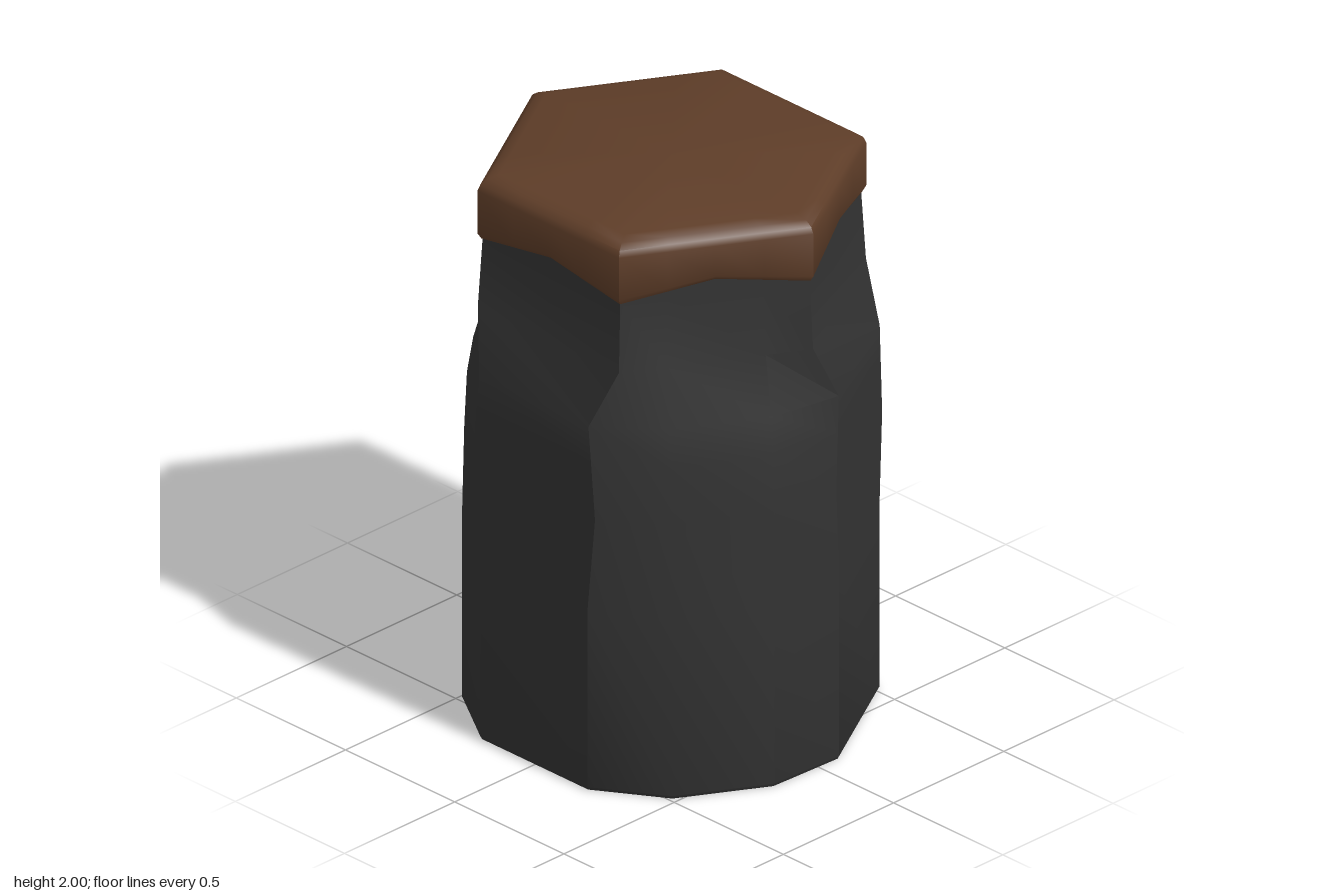
import * as THREE from 'three';
import { toCreasedNormals } from 'three/addons/utils/BufferGeometryUtils.js';

// Skin a stack of equal-length rings (bottom to top) and close both ends.
function loft(rings, crease) {
  const n = rings[0].length, pos = [], idx = [];
  rings.forEach(r => r.forEach(p => pos.push(...p)));
  for (let j = 0; j < rings.length - 1; j++) {
    for (let i = 0; i < n; i++) {
      const a = j * n + i, b = j * n + (i + 1) % n;
      idx.push(a, a + n, b + n, a, b + n, b);
    }
  }
  const last = (rings.length - 1) * n, c0 = rings.length * n, c1 = c0 + 1;
  pos.push(0, rings[0][0][1], 0, 0, rings.at(-1)[0][1], 0);
  for (let i = 0; i < n; i++) {
    const k = (i + 1) % n;
    idx.push(c0, i, k, c1, last + k, last + i);
  }
  const g = new THREE.BufferGeometry();
  g.setAttribute('position', new THREE.Float32BufferAttribute(pos, 3));
  g.setIndex(idx);
  return toCreasedNormals(g, crease);
}

// Point on a side plane: facing angle, distance from the axis, sideways offset.
const sidePoint = (angle, d, s, y) => [
  d * Math.cos(angle) - s * Math.sin(angle), y, d * Math.sin(angle) + s * Math.cos(angle)];

// Three flat sides (d, half-width w) alternate with three bulging ones (e, s).
function bodyRing([y, d, w, e, s]) {
  const ring = [];
  for (let k = 0; k < 3; k++) {
    const flat = Math.PI / 3 + k * Math.PI * 2 / 3, bulge = flat + Math.PI / 3;
    ring.push(sidePoint(flat, d, -w, y), sidePoint(flat, d, w, y));
    ring.push(sidePoint(bulge, e, -s, y), sidePoint(bulge, e, s, y));
  }
  return ring;
}

// Hexagon with extra points along each side; the lift arches the side's middle.
function hexRing(radius, y, lift = 0) {
  const ring = [], d = radius * Math.cos(Math.PI / 6);
  for (let k = 0; k < 6; k++) {
    for (const t of [-1, -0.5, 0, 0.5]) {
      ring.push(sidePoint(k * Math.PI / 3, d, t * radius / 2, y + lift * (1 - Math.abs(t))));
    }
  }
  return ring;
}

export function createModel() {
  const model = new THREE.Group();
  const add = (name, geometry, color) => {
    const mesh = new THREE.Mesh(geometry, new THREE.MeshStandardMaterial({ color }));
    mesh.name = name;
    mesh.position.x = -0.015;
    model.add(mesh);
  };

  // Body: faceted base narrowing into a hexagonal neck
  const body = [
    [0, 0.62, 0.243, 0.649, 0.168],
    [0.012, 0.626, 0.245, 0.655, 0.17],
    [0.65, 0.626, 0.245, 0.655, 0.17],
    [1.0, 0.626, 0.28, 0.647, 0.17],
    [1.2, 0.626, 0.262, 0.638, 0.17],
    [1.33, 0.626, 0.25, 0.617, 0.17],
    [1.53, 0.56, 0.323, 0.562, 0.165],
    [1.78, 0.546, 0.315, 0.546, 0.16],
    [1.86, 0.544, 0.314, 0.544, 0.16],
  ].map(bodyRing);
  add('body', loft(body, 0.51), 0x333333);

  // Cap: hexagonal lid with arched lower edges and a rounded rim
  const cap = [
    hexRing(0.60, 1.775, 0.05),
    hexRing(0.635, 1.775, 0.05),
    hexRing(0.648, 1.795, 0.045),
    hexRing(0.648, 1.95),
    hexRing(0.638, 1.972),
    hexRing(0.614, 1.989),
    hexRing(0.575, 2.0),
  ];
  add('cap', loft(cap, 0.8), 0x5e3d28);

  return model;
}
